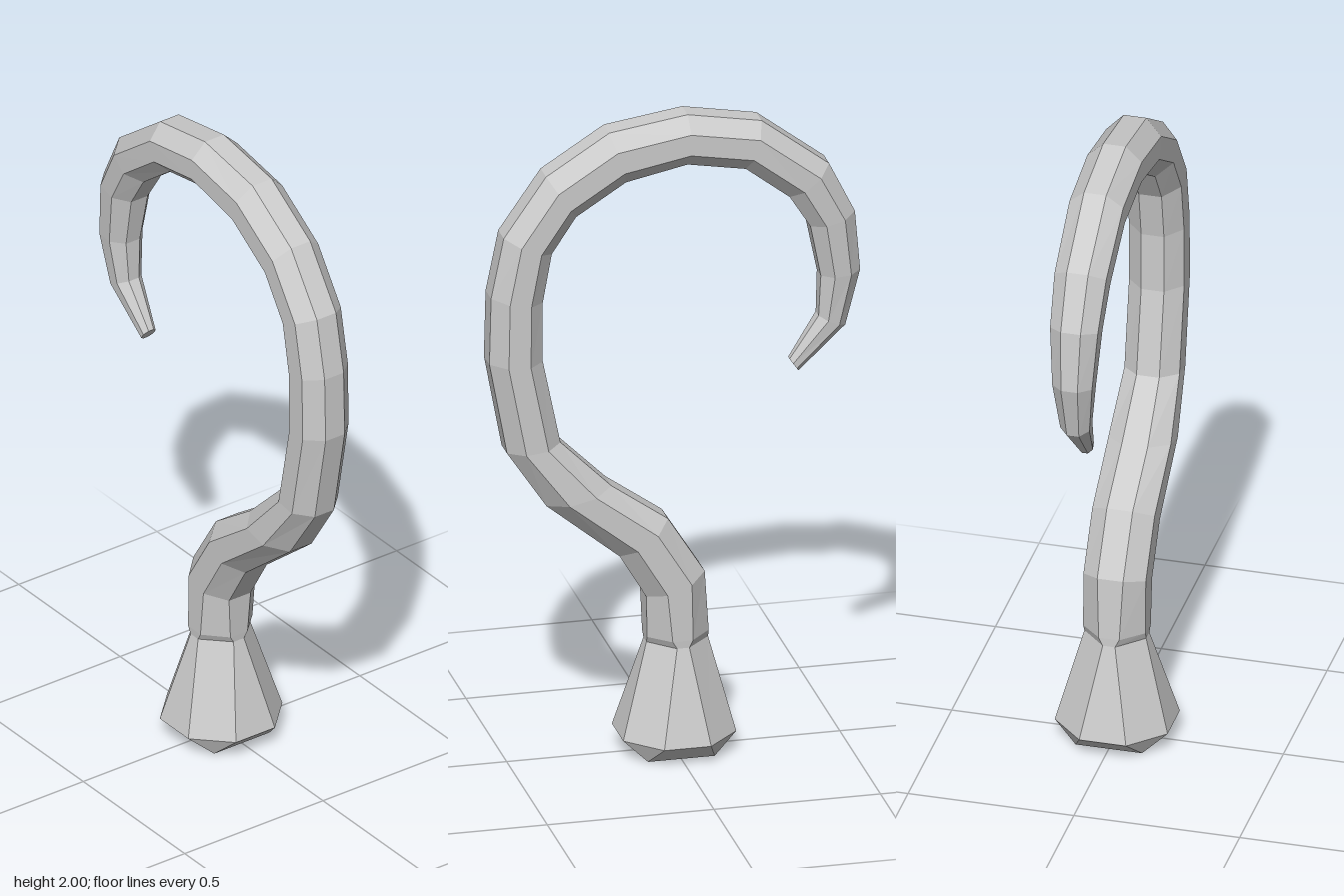
import * as THREE from 'three';

const OCT = 0.414; // half side of a regular octagon with apothem 1

// Eight-sided ring: t = 0.414 is a regular octagon, smaller is diamond-like, 1 is a square
// Row: [outer z, outer y, inner z, inner y, half width in x, t]
function ring([oz, oy, iz, iy, hx, t = OCT]) {
  const c = new THREE.Vector3(0, (oy + iy) / 2, (oz + iz) / 2);
  const v = new THREE.Vector3(0, (oy - iy) / 2, (oz - iz) / 2);
  return [[1, t], [t, 1], [-t, 1], [-1, t], [-1, -t], [-t, -1], [t, -1], [1, -t]]
    .map(([a, b]) => new THREE.Vector3(a * hx, 0, 0).add(c).addScaledVector(v, b));
}

// Faceted skin through the rings, closed at both ends
function loft(name, rows) {
  const rings = rows.map(ring), pos = [];
  const tri = (a, b, c) => {
    const area = b.clone().sub(a).cross(c.clone().sub(a)).length();
    if (area > 1e-8) pos.push(...a, ...b, ...c);
  };
  for (let k = 0; k < rings.length - 1; k++) {
    const a = rings[k], b = rings[k + 1];
    for (let i = 0; i < 8; i++) {
      const j = (i + 1) % 8;
      tri(a[i], b[i], a[j]);
      tri(a[j], b[i], b[j]);
    }
  }
  const first = rings[0], last = rings[rings.length - 1];
  for (let i = 1; i < 7; i++) {
    tri(first[0], first[i], first[i + 1]);
    tri(last[0], last[i + 1], last[i]);
  }
  const geo = new THREE.BufferGeometry();
  geo.setAttribute('position', new THREE.Float32BufferAttribute(pos, 3));
  geo.computeVertexNormals();
  const mesh = new THREE.Mesh(geo, new THREE.MeshStandardMaterial({ color: 0xcccccc, flatShading: true }));
  mesh.name = name;
  return mesh;
}

export function createModel() {
  const group = new THREE.Group();
  group.name = 'hook';

  // Flared foot: square underside, wide octagon, pinched neck
  group.add(loft('flaredBase', [
    [0.1, 0, -0.1, 0, 0.1, 1],
    [0.167, 0.06, -0.172, 0.06, 0.17],
    [0.085, 0.345, -0.1, 0.345, 0.093, 0.2],
  ]));

  // Curved shaft: neck, S-bend, big arc and tapering tip
  group.add(loft('curvedShaft', [
    [0.085, 0.345, -0.1, 0.345, 0.093, 0.2],
    [0.086, 0.365, -0.099, 0.37, 0.094, 0.33],
    [0.09, 0.495, -0.085, 0.56, 0.094],
    [0.17, 0.63, 0.025, 0.735, 0.094],
    [0.39, 0.81, 0.195, 0.855, 0.094],
    [0.507, 0.985, 0.347, 1.005, 0.083],
    [0.56, 1.27, 0.4, 1.265, 0.083],
    [0.555, 1.477, 0.4, 1.45, 0.083],
    [0.517, 1.663, 0.373, 1.6, 0.083],
    [0.39, 1.845, 0.3, 1.71, 0.083],
    [0.2, 1.965, 0.15, 1.805, 0.083],
    [-0.035, 2, -0.035, 1.843, 0.082],
    [-0.257, 1.96, -0.21, 1.812, 0.081],
    [-0.46, 1.805, -0.342, 1.71, 0.078],
    [-0.538, 1.647, -0.405, 1.61, 0.072],
    [-0.555, 1.46, -0.437, 1.45, 0.06],
    [-0.512, 1.287, -0.432, 1.322, 0.044],
    [-0.374, 1.152, -0.347, 1.19, 0.022],
  ]));

  return group;
}
